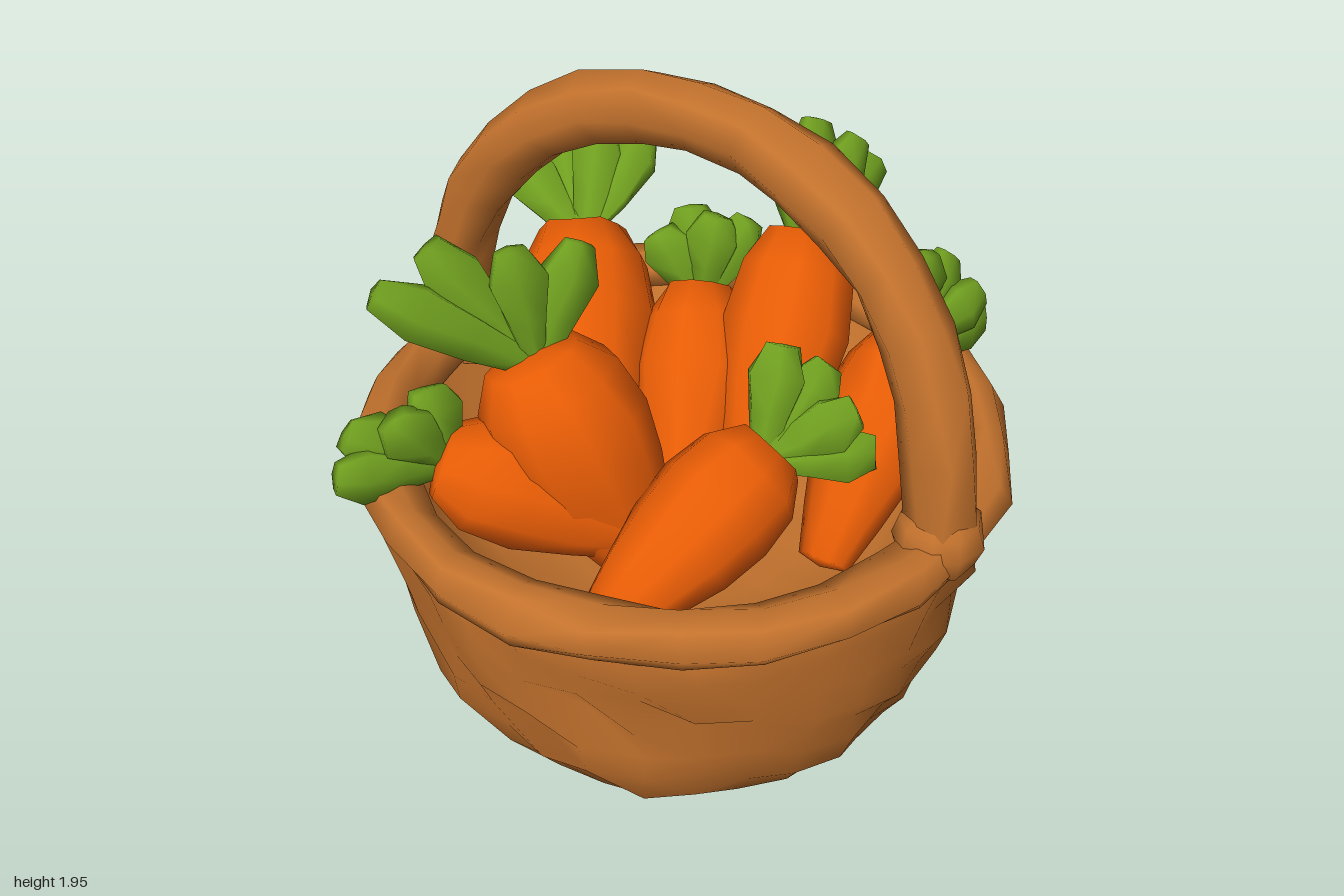
import * as THREE from 'three';
import { mergeVertices } from 'three/addons/utils/BufferGeometryUtils.js';

const V = (a) => new THREE.Vector3(...a);

// Small seeded random in -1..1
let seed = 7;
function rnd() {
  seed = (seed * 48271) % 2147483647;
  return (seed / 2147483647) * 2 - 1;
}

// Weld a geometry, move its points by a rule plus jitter, smooth the normals
function organic(geo, amount, rule = () => {}) {
  geo.deleteAttribute('uv');
  geo.deleteAttribute('normal');
  const g = mergeVertices(geo, 1e-4);
  const p = g.attributes.position;
  const v = new THREE.Vector3();
  for (let i = 0; i < p.count; i++) {
    v.fromBufferAttribute(p, i);
    rule(v);
    p.setXYZ(i, v.x + rnd() * amount, v.y + rnd() * amount * 0.7, v.z + rnd() * amount);
  }
  g.computeVertexNormals();
  return g;
}

function lathe(points, sides) {
  return new THREE.LatheGeometry(points.map((p) => new THREE.Vector2(...p)), sides);
}

// Orient an object's +y along dir, with its x axis close to side
function aim(object, dir, side) {
  const y = dir.clone().normalize();
  const z = new THREE.Vector3().crossVectors(side, y).normalize();
  const x = new THREE.Vector3().crossVectors(y, z);
  object.quaternion.setFromRotationMatrix(new THREE.Matrix4().makeBasis(x, y, z));
}

// Staggered lumps of the woven outer wall
function weave(v) {
  const r = Math.hypot(v.x, v.z);
  if (r < 0.75 || v.y < 0.08 || v.y > 0.8) return;
  const lump = Math.sin(Math.atan2(v.z, v.x) * 12 + Math.round(v.y / 0.11) * 2.2);
  const k = 1 + (lump * 0.014 + rnd() * 0.014) / r;
  v.x *= k;
  v.z *= k;
  v.y += rnd() * 0.03;
}

export function createModel() {
  seed = 7;
  const wicker = new THREE.MeshStandardMaterial({ name: 'wicker brown', color: 0xc3722d });
  const orange = new THREE.MeshStandardMaterial({ name: 'carrot orange', color: 0xf06006 });
  const green = new THREE.MeshStandardMaterial({ name: 'leaf green', color: 0x6f9e1f });
  const model = new THREE.Group();
  model.name = 'carrotBasket';

  function add(parent, name, geo, mat) {
    const mesh = new THREE.Mesh(geo, mat);
    mesh.name = name;
    parent.add(mesh);
    return mesh;
  }

  // Basket: lumpy outer wall, recessed base, then bowl-shaped inside
  const outer = [[0, 0.05], [0.6, 0.05], [0.69, 0.02], [0.75, 0.035], [0.81, 0.13], [0.85, 0.23], [0.875, 0.34],
    [0.89, 0.45], [0.905, 0.56], [0.92, 0.67], [0.93, 0.78], [0.9, 0.86]];
  const inner = [[0.85, 0.84], [0.77, 0.66], [0.62, 0.55], [0.4, 0.5], [0, 0.48]];
  add(model, 'basketBody', organic(lathe([...outer, ...inner], 34), 0.012, weave), wicker);

  // Rim
  const rim = new THREE.TorusGeometry(0.91, 0.085, 7, 26);
  rim.rotateX(Math.PI / 2);
  rim.translate(0, 0.85, 0);
  add(model, 'rim', organic(rim, 0.018), wicker);

  // Arched handle set diagonally, with thickened ends
  const arch = [[-0.79, 0.8, -0.37], [-0.78, 1.1, -0.36], [-0.7, 1.38, -0.32], [-0.53, 1.64, -0.24],
    [-0.27, 1.815, -0.16], [0, 1.865, -0.06], [0.27, 1.83, 0.1], [0.52, 1.67, 0.25],
    [0.69, 1.4, 0.38], [0.76, 1.1, 0.44], [0.77, 0.8, 0.45]];
  const curve = new THREE.CatmullRomCurve3(arch.map(V));
  add(model, 'handle', organic(new THREE.TubeGeometry(curve, 18, 0.102, 7, false), 0.012), wicker);
  for (const [x, z] of [[-0.8, -0.37], [0.77, 0.45]]) {
    const base = organic(new THREE.SphereGeometry(0.13, 9, 6), 0.005);
    add(model, 'handleBase', base, wicker).position.set(x, 0.89, z);
  }

  // Carrots: crown, tip, thickness, end of the leaf tuft, and half its spread
  const carrots = [
    { crown: [-0.4, 1.2, 0.22], tip: [-0.06, 0.5, 0.3], r: 0.24, leaf: [-0.58, 1.58, 0.21], side: [0.26, 0.02, -0.14] },
    { crown: [-0.4, 1.19, -0.5], tip: [-0.25, 0.6, 0.2], r: 0.225, leaf: [-0.45, 1.44, -0.8], side: [0.2, 0.06, -0.06] },
    { crown: [0.31, 1.25, -0.46], tip: [0.2, 0.6, 0.2], r: 0.205, leaf: [0.39, 1.54, -0.72], side: [0.15, -0.08, -0.1] },
    { crown: [0, 1.08, -0.37], tip: [0.02, 0.55, 0.25], r: 0.19, leaf: [0, 1.36, -0.45], side: [0.14, 0.03, 0] },
    { crown: [0.66, 1.02, -0.26], tip: [0.45, 0.55, 0.25], r: 0.19, leaf: [0.82, 1.21, -0.45], side: [0.12, -0.15, -0.07] },
    { crown: [-0.64, 0.93, 0.38], tip: [0.08, 0.64, 0.26], r: 0.19, leaf: [-0.83, 1.13, 0.49], side: [0.12, 0.09, -0.09] },
    { crown: [0.27, 0.94, 0.24], tip: [-0.14, 0.64, 0.68], r: 0.2, leaf: [0.49, 1.13, 0.1], side: [0.15, -0.13, 0.06] },
  ];
  // Root profile as fraction of thickness and of length, from tip to crown
  const root = [[0, 0], [0.4, 0.02], [0.64, 0.22], [0.87, 0.45], [1, 0.66], [0.91, 0.85], [0.6, 0.98], [0, 1.0]];
  // Leaf lobe profile, per unit length
  const lobe = [[0, 0], [0.36, 0.04], [0.68, 0.4], [1, 0.74], [0.55, 0.99], [0, 1]];

  for (const c of carrots) {
    const group = new THREE.Group();
    group.name = 'carrot';
    model.add(group);
    const crown = V(c.crown), tip = V(c.tip), side = V(c.side);
    const axis = crown.clone().sub(tip);
    const len = axis.length() + 0.03;
    const body = add(group, 'carrotRoot',
      organic(lathe(root.map(([r, h]) => [r * c.r, h * len]), 10), 0.008), orange);
    body.position.copy(tip);
    aim(body, axis, side);

    // Fan of flattened leaf lobes, alternately leaning to either face of the fan
    const reach = V(c.leaf).sub(crown);
    const face = new THREE.Vector3().crossVectors(side, reach).normalize();
    for (const [t, size, lean] of [[-1, 0.85, 0.02], [-0.35, 1.04, -0.03], [0.35, 0.94, 0.03], [1, 0.82, -0.02]]) {
      const dir = reach.clone().multiplyScalar(size).addScaledVector(side, t).addScaledVector(face, lean);
      const n = dir.length();
      const geo = lathe(lobe.map(([r, h]) => [r * 0.094, h * n]), 6);
      geo.scale(1, 1, 0.6);
      const leaf = add(group, 'leafLobe', organic(geo, 0.007), green);
      leaf.position.copy(crown).addScaledVector(reach, -0.06);
      aim(leaf, dir, side);
    }
  }
  return model;
}
